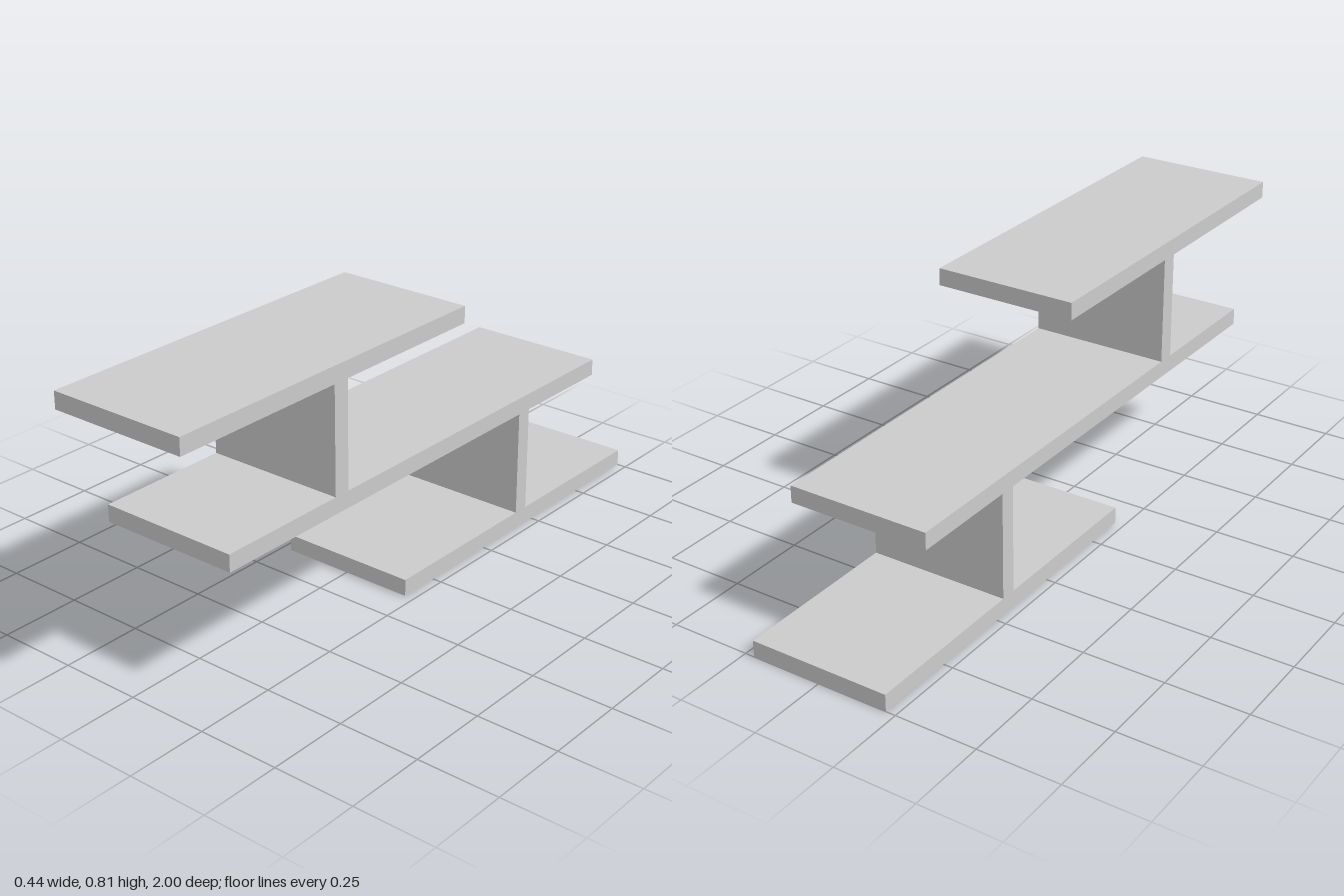
import * as THREE from 'three';

export function createModel() {
  const group = new THREE.Group();
  const width = 0.44;

  // Side outline as [z, y]: three staggered flanges joined by two webs
  const outline = [
    // underside and back of the bottom flange, up the back of the lower web
    [0.13, 0], [-1, 0], [-1, 0.052], [-0.467, 0.052], [-0.467, 0.383],
    // back of the middle flange, up the back of the upper web
    [-0.812, 0.383], [-0.812, 0.435], [0.38, 0.435], [0.38, 0.763],
    // top flange
    [-0.13, 0.763], [-0.13, 0.815], [1, 0.815], [1, 0.763], [0.433, 0.763],
    // down the front of the upper web, front of the middle flange
    [0.433, 0.435], [0.846, 0.435], [0.846, 0.383], [-0.417, 0.383],
    // down the front of the lower web to the bottom flange
    [-0.417, 0.052], [0.13, 0.052],
  ];
  const shape = new THREE.Shape(outline.map(([z, y]) => new THREE.Vector2(z, y)));

  // Extrude across the width, then turn the profile into the z-y plane
  const geometry = new THREE.ExtrudeGeometry(shape, { depth: width, bevelEnabled: false });
  geometry.translate(0, 0, -width / 2);
  geometry.rotateY(-Math.PI / 2);

  const beam = new THREE.Mesh(geometry, new THREE.MeshStandardMaterial({ color: 0xcccccc }));
  beam.name = 'steppedBeam';
  group.add(beam);
  return group;
}
